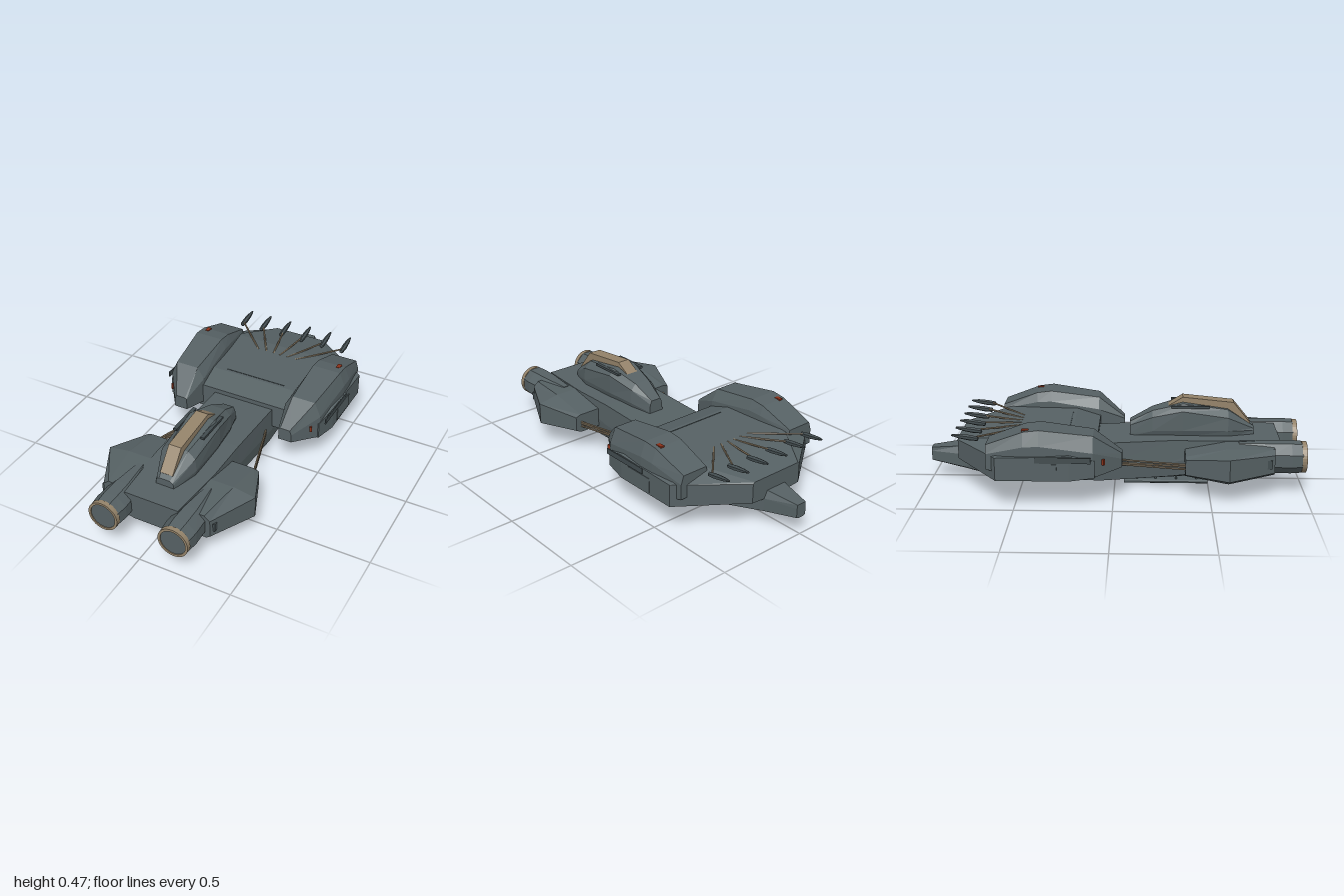
import * as THREE from 'three';

const mat = (name, color) => {
  const m = new THREE.MeshStandardMaterial({ color, flatShading: true });
  m.name = name;
  return m;
};

export function createModel() {
  const root = new THREE.Group();
  const hull = mat('hull grey', 0x566164);
  const dark = mat('dark grey', 0x424c4f);
  const tan = mat('tan trim', 0x94836a);
  const red = mat('warning red', 0x8a3018);

  const add = (name, geo, material, x = 0, y = 0, z = 0) => {
    const m = new THREE.Mesh(geo, material);
    m.name = name;
    m.position.set(x, y, z);
    root.add(m);
    return m;
  };
  const box = (name, material, w, h, d, x, y, z) =>
    add(name, new THREE.BoxGeometry(w, h, d), material, x, y, z);

  // Skin between cross-sections [z, points], front to back, points counter-clockwise
  const loft = (name, sections, material = hull, side = 1) => {
    const rings = sections.map(([z, pts]) => {
      const ring = pts.map(([x, y]) => [x * side, y, z]);
      return side < 0 ? ring.reverse() : ring;
    });
    const v = [], n = rings[0].length;
    const tri = (a, b, c) => v.push(...a, ...b, ...c);
    for (let k = 0; k < rings.length - 1; k++) {
      const f = rings[k], b = rings[k + 1];
      for (let i = 0; i < n; i++) {
        const j = (i + 1) % n;
        tri(f[i], b[i], b[j]);
        tri(f[i], b[j], f[j]);
      }
    }
    const first = rings[0], last = rings[rings.length - 1];
    for (let i = 1; i < n - 1; i++) {
      tri(first[0], first[i], first[i + 1]);
      tri(last[0], last[i + 1], last[i]);
    }
    const g = new THREE.BufferGeometry();
    g.setAttribute('position', new THREE.Float32BufferAttribute(v, 3));
    g.computeVertexNormals();
    return add(name, g, material);
  };
  // Symmetric section from its left half, bottom to top
  const sym = (z, ...half) => [z, [...half, ...half.map(([x, y]) => [-x, y]).reverse()]];

  // Straight rod between two points
  const rod = (name, a, b, r) => {
    const p = new THREE.Vector3(...a), q = new THREE.Vector3(...b);
    const m = add(name, new THREE.CylinderGeometry(r, r, p.distanceTo(q), 6), tan);
    m.position.copy(p).lerp(q, 0.5);
    m.quaternion.setFromUnitVectors(new THREE.Vector3(0, 1, 0), q.sub(p).normalize());
  };

  // Central hull with narrow tail
  loft('spine', [
    sym(0.87, [0.10, 0.12], [0.155, 0.13], [0.155, 0.25], [0.15, 0.27]),
    sym(0.55, [0.11, 0.065], [0.17, 0.10], [0.18, 0.20], [0.175, 0.27]),
    sym(0.30, [0.11, 0.045], [0.17, 0.07], [0.18, 0.15], [0.175, 0.27]),
    sym(-0.08, [0.11, 0.02], [0.17, 0.04], [0.18, 0.12], [0.175, 0.25]),
    sym(-0.63, [0.10, 0.035], [0.15, 0.055], [0.17, 0.14], [0.15, 0.24]),
    sym(-0.83, [0.05, 0.065], [0.08, 0.08], [0.08, 0.15], [0.06, 0.19]),
    sym(-1.0, [0.02, 0.095], [0.03, 0.10], [0.03, 0.15], [0.028, 0.17]),
  ]);

  // Wide rear deck
  loft('rearDeck', [
    sym(-0.09, [0.30, 0.14], [0.455, 0.16], [0.455, 0.25], [0.25, 0.275]),
    sym(-0.22, [0.40, 0.135], [0.48, 0.15], [0.48, 0.28], [0.25, 0.315]),
    sym(-0.59, [0.40, 0.14], [0.48, 0.15], [0.48, 0.27], [0.30, 0.315]),
    sym(-0.83, [0.10, 0.15], [0.16, 0.155], [0.16, 0.26], [0.15, 0.268]),
  ]);
  box('deckSeam', dark, 0.36, 0.004, 0.006, 0, 0.315, -0.24);

  // Cockpit hump
  loft('cockpit', [
    sym(0.74, [0.05, 0.26], [0.05, 0.29], [0.045, 0.30], [0.03, 0.31]),
    sym(0.60, [0.09, 0.26], [0.10, 0.30], [0.095, 0.37], [0.055, 0.405]),
    sym(0.36, [0.085, 0.26], [0.10, 0.30], [0.10, 0.405], [0.07, 0.44]),
    sym(0.20, [0.07, 0.26], [0.08, 0.29], [0.075, 0.365], [0.045, 0.395]),
    sym(0.08, [0.045, 0.25], [0.045, 0.265], [0.04, 0.31], [0.03, 0.33]),
  ]);

  // Canopy strip over the hump, drawn in (z, y)
  const strip = new THREE.Shape([[0.72, 0.33], [0.63, 0.44], [0.36, 0.467], [0.285, 0.42],
    [0.36, 0.40], [0.60, 0.37], [0.70, 0.305]].map(p => new THREE.Vector2(...p)));
  const stripGeo = new THREE.ExtrudeGeometry(strip, { depth: 0.07, bevelEnabled: false });
  stripGeo.rotateY(-Math.PI / 2).translate(0.035, 0, 0);
  add('canopyStrip', stripGeo, tan);

  // Belly skid and its struts
  const skid = new THREE.Shape([[-0.1, 0.005], [-0.09, 0], [0.09, 0], [0.1, 0.005],
    [0.1, 0.012], [0.09, 0.018], [-0.09, 0.018], [-0.1, 0.012]].map(p => new THREE.Vector2(...p)));
  add('skid', new THREE.ExtrudeGeometry(skid, { depth: 0.45, bevelEnabled: false }), hull, 0, 0, 0.05);
  for (const z of [0.12, 0.22, 0.33, 0.44])
    for (const x of [-0.07, 0.07]) box('skidStrut', dark, 0.01, 0.05, 0.01, x, 0.035, z);

  const octagon = (rx, ry) => Array.from({ length: 8 }, (_, i) => {
    const a = (i + 0.5) * Math.PI / 4;
    return [0.195 + rx * Math.cos(a), 0.195 + ry * Math.sin(a)];
  });
  const ring = new THREE.Shape().absarc(0, 0, 0.082, 0, Math.PI * 2);
  ring.holes.push(new THREE.Path().absarc(0, 0, 0.069, 0, Math.PI * 2, true));
  const ringGeo = new THREE.ExtrudeGeometry(ring, { depth: 0.025, bevelEnabled: false, curveSegments: 16 });

  // Emitter body pointing backwards
  const emitterGeo = new THREE.LatheGeometry([[0, -0.07], [0.012, -0.065], [0.015, -0.02],
    [0.012, 0.03], [0.005, 0.07], [0, 0.07]].map(p => new THREE.Vector2(...p)), 6);
  emitterGeo.rotateX(-Math.PI / 2 + 0.14);

  for (const s of [1, -1]) {
    // Rear shoulder pod
    const pod = (z, ox, by, sh, tox, ty, tix, ix) =>
      [z, [[ox, by], [ox, sh], [tox, ty], [tix, ty], [ix, sh + 0.02], [ix, by]]];
    loft('rearPod', [
      pod(0.045, 0.355, 0.185, 0.23, 0.345, 0.257, 0.29, 0.28),
      pod(-0.10, 0.455, 0.16, 0.29, 0.42, 0.37, 0.29, 0.25),
      pod(-0.37, 0.475, 0.16, 0.33, 0.445, 0.405, 0.285, 0.26),
      pod(-0.45, 0.472, 0.16, 0.325, 0.443, 0.395, 0.285, 0.265),
      pod(-0.64, 0.45, 0.20, 0.28, 0.435, 0.325, 0.29, 0.285),
    ], hull, s);
    box('sideFin', dark, 0.006, 0.03, 0.28, s * 0.481, 0.26, -0.25);
    box('sidePlate', hull, 0.01, 0.08, 0.16, s * 0.478, 0.20, -0.36);
    box('podTopLight', red, 0.022, 0.008, 0.035, s * 0.41, 0.397, -0.44);
    box('podSideLight', red, 0.012, 0.03, 0.024, s * 0.421, 0.235, -0.053).rotation.y = s * 0.6;

    // Front wing pod
    const wing = (z, ...outer) => {
      const by = outer[0][1], ty = outer[3][1];
      return [z, [...outer, [0.15, ty], [0.15, by]]];
    };
    loft('frontPod', [
      wing(0.83, [0.28, 0.125], [0.30, 0.14], [0.30, 0.235], [0.27, 0.26]),
      wing(0.59, [0.35, 0.095], [0.42, 0.13], [0.42, 0.248], [0.30, 0.268]),
      wing(0.37, [0.30, 0.12], [0.33, 0.135], [0.33, 0.215], [0.30, 0.225]),
    ], hull, s);
    box('frontPodVent', dark, 0.02, 0.045, 0.03, s * 0.31, 0.19, 0.80);

    // Engine nacelle with ringed mouth
    loft('nacelle', [
      [0.98, octagon(0.083, 0.083)],
      [0.92, octagon(0.09, 0.087)],
      [0.82, octagon(0.085, 0.087)],
      [0.65, octagon(0.04, 0.08)],
    ], hull, s);
    add('nacelleRing', ringGeo, tan, s * 0.195, 0.195, 0.975);
    const face = add('nacelleFace', new THREE.CylinderGeometry(0.07, 0.07, 0.02, 32), hull, s * 0.195, 0.195, 0.985);
    face.rotation.x = Math.PI / 2;

    // Brace rods from front pod to rear pod
    for (const [y0, y1] of [[0.18, 0.165], [0.17, 0.148], [0.155, 0.14]])
      rod('braceRod', [s * 0.30, y0, 0.39], [s * 0.18, y1, -0.01], 0.005);

    // Fan of emitters on struts
    for (const [x0, x1, ex] of [[0.02, 0.06, 0.065], [0.065, 0.185, 0.195], [0.115, 0.315, 0.32]]) {
      rod('emitterStrut', [s * x0, 0.312, -0.505], [s * x1, 0.325, -0.71], 0.005);
      add('emitter', emitterGeo, dark, s * ex, 0.327, -0.76);
    }

    // Cockpit side vent
    box('cockpitVent', dark, 0.02, 0.012, 0.20, s * 0.078, 0.425, 0.40);
  }
  return root;
}
